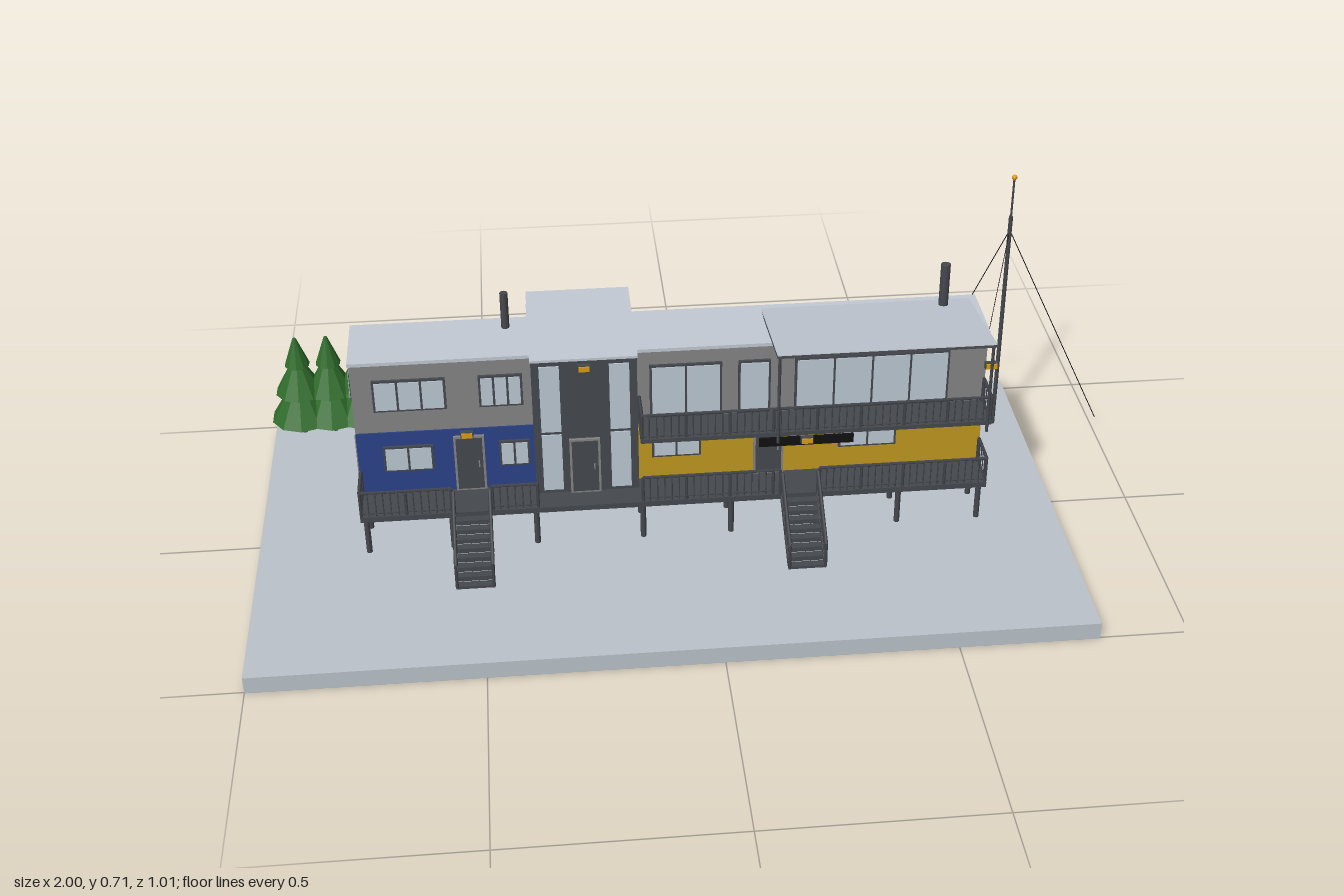
import * as THREE from 'three';
import { mergeGeometries } from 'three/addons/utils/BufferGeometryUtils.js';

const material = (name, color) => {
  const m = new THREE.MeshStandardMaterial({ color });
  m.name = name;
  return m;
};

export function createModel() {
  const root = new THREE.Group();
  root.name = 'containerHouse';
  const concrete = material('concrete', 0xbac2ca), roofing = material('roofing', 0xc2cad3);
  const steel = material('darkSteel', 0x45484e), grey = material('greyCladding', 0x858585);
  const blue = material('bluePaint', 0x2a4288), yellow = material('yellowPaint', 0xc0981f);
  const glass = material('glass', 0xbcc8d3), green = material('needles', 0x2f6c2b);
  const black = material('black', 0x101012), lampYellow = material('lampYellow', 0xdd9c14);

  // Geometry helpers: box from its limits, and a bar between two points
  const boxGeo = (x0, x1, y0, y1, z0, z1) =>
    new THREE.BoxGeometry(x1 - x0, y1 - y0, z1 - z0).translate((x0 + x1) / 2, (y0 + y1) / 2, (z0 + z1) / 2);
  const barGeo = (a, b, r, sides = 4) => {
    const p = new THREE.Vector3(...a), q = new THREE.Vector3(...b), d = q.clone().sub(p);
    const g = new THREE.CylinderGeometry(r, r, d.length(), sides);
    g.applyQuaternion(new THREE.Quaternion().setFromUnitVectors(new THREE.Vector3(0, 1, 0), d.normalize()));
    return g.translate(...p.add(q).multiplyScalar(0.5).toArray());
  };
  const add = (name, geo, mat, parent = root) => {
    const m = new THREE.Mesh(Array.isArray(geo) ? mergeGeometries(geo) : geo, mat);
    m.name = name;
    parent.add(m);
    return m;
  };
  const box = (name, mat, ...limits) => add(name, boxGeo(...limits), mat);

  // Ground slab
  box('groundSlab', concrete, -1, 0.805, 0, 0.04, -0.475, 0.503);

  // Container wings: painted ground floor, grey upper floor, roof
  const Z0 = -0.143, Z1 = 0.015;
  for (const [side, x0, x1, paint] of [['right', -0.767, -0.375, blue], ['left', -0.145, 0.634, yellow]]) {
    box(side + 'LowerFloor', paint, x0, x1, 0.143, 0.303, Z0, Z1);
    box(side + 'UpperFloor', grey, x0, x1, 0.309, 0.478, Z0, Z1);
    box(side + 'FloorSeam', grey, x0, x1, 0.303, 0.309, Z0 + 0.003, Z1 - 0.003);
    box(side + 'FloorBeam', steel, x0, x1, 0.131, 0.143, Z0, Z1);
    box(side + 'Roof', roofing, x0 - 0.003, x1 + 0.003, 0.478, 0.486, Z0 - 0.005, Z1 + 0.004);
  }

  // Windows and doors, built facing +z and then turned to their wall
  const opening = (name, x, y, z, w, h, panes, turn = 0, door = false) => {
    const g = new THREE.Group();
    g.name = name;
    add('frame', new THREE.BoxGeometry(w, h, 0.006), door ? grey : steel, g);
    const t = 0.005, pw = (w - t) / panes;
    for (let i = 0; i < panes; i++) {
      const pane = new THREE.BoxGeometry(pw - t, h - 2 * t, 0.004);
      add(door ? 'leaf' : 'pane', pane.translate(-w / 2 + t / 2 + pw * (i + 0.5), 0, 0.003), door ? steel : glass, g);
    }
    if (door) add('handle', new THREE.BoxGeometry(0.003, 0.014, 0.006).translate(w * 0.3, 0, 0.006), grey, g);
    g.position.set(x, y, z);
    g.rotation.y = turn;
    root.add(g);
  };
  const frontWindow = (name, x0, x1, y0, y1, panes, door) =>
    opening(name, (x0 + x1) / 2, (y0 + y1) / 2, Z1 + 0.003, x1 - x0, y1 - y0, panes, 0, door);
  for (const [x0, x1, n] of [[-0.71, -0.6, 2], [-0.455, -0.387, 2], [-0.115, -0.005, 2], [0.307, 0.438, 2]])
    frontWindow('lowerWindow', x0, x1, 0.203, 0.268, n);
  for (const [x0, x1] of [[-0.722, -0.563], [-0.492, -0.396]]) frontWindow('upperWindow', x0, x1, 0.361, 0.44, 3);
  for (const [x0, x1, n] of [[-0.118, 0.042, 2], [0.078, 0.15, 1], [0.204, 0.55, 4]])
    frontWindow('balconyGlazing', x0, x1, 0.309, 0.444, n);
  for (const x of [-0.521, 0.148]) frontWindow('frontDoor', x - 0.034, x + 0.034, 0.143, 0.286, 1, true);
  opening('leftEndWindow', 0.637, 0.398, -0.063, 0.074, 0.067, 2, Math.PI / 2);
  opening('rightEndWindow', -0.77, 0.398, -0.063, 0.074, 0.067, 2, -Math.PI / 2);
  opening('backWindow', 0.498, 0.237, Z0 - 0.003, 0.125, 0.065, 2, Math.PI);

  // Locking bars on the container end doors
  for (const x of [0.636, -0.769]) add('lockingBars',
    [-0.002, -0.047, -0.08, -0.12].map(z => boxGeo(x - 0.002, x + 0.002, 0.155, 0.292, z - 0.0015, z + 0.0015)), grey);

  // Stair tower with glazing on all sides
  const tx = -0.262;
  box('tower', steel, -0.377, -0.147, 0.14, 0.485, -0.25, 0.05);
  box('towerRoof', roofing, -0.379, -0.145, 0.485, 0.491, -0.252, 0.052);
  for (const [y0, y1] of [[0.152, 0.298], [0.306, 0.474]]) {
    for (const s of [-1, 1]) {
      const fx = tx + s * 0.076, bx = tx + s * 0.05, sx = tx + s * 0.115;
      box('towerFrontGlass', glass, fx - 0.022, fx + 0.022, y0, y1, 0.048, 0.053);
      box('towerBackGlass', glass, bx - 0.045, bx + 0.045, y0, y1, -0.253, -0.248);
      box('towerSideGlass', glass, sx - 0.003, sx + 0.003, y0, y1, -0.225, -0.154);
    }
  }
  opening('towerDoor', tx - 0.004, 0.214, 0.053, 0.068, 0.142, 1, 0, true);

  // Deck, balcony and support legs
  box('deck', steel, -0.767, 0.634, 0.13, 0.143, Z1, 0.107);
  box('balconyFloor', steel, -0.145, 0.634, 0.296, 0.306, Z1, 0.103);
  const legs = [];
  for (const x of [-0.755, -0.567, -0.38, -0.142, 0.056, 0.25, 0.436, 0.62])
    for (const z of [0.092, 0, -0.127]) legs.push(barGeo([x, 0.04, z], [x, 0.131, z], 0.0065, 8));
  add('supportLegs', legs, steel);

  // Railings: top and bottom rails, slim balusters and stout posts
  const rail = (name, a, b, h = 0.063) => {
    const up = (p, dy) => [p[0], p[1] + dy, p[2]];
    const n = Math.max(2, Math.round(Math.hypot(b[0] - a[0], b[1] - a[1], b[2] - a[2]) / 0.016));
    const parts = [barGeo(up(a, h), up(b, h), 0.004), barGeo(up(a, 0.008), up(b, 0.008), 0.002)];
    for (let i = 0; i <= n; i++) {
      const p = a.map((v, k) => v + (b[k] - v) * i / n);
      parts.push(barGeo(p, up(p, h), i % 6 === 0 || i === n ? 0.0035 : 0.0014));
    }
    add(name, parts, steel);
  };
  for (const [x0, x1] of [[-0.764, -0.565], [-0.475, -0.375], [-0.142, 0.165], [0.253, 0.631]])
    rail('deckRailing', [x0, 0.143, 0.103], [x1, 0.143, 0.103]);
  for (const x of [-0.764, 0.631]) rail('deckEndRailing', [x, 0.143, 0.02], [x, 0.143, 0.103]);
  rail('balconyRailing', [-0.142, 0.303, 0.099], [0.631, 0.303, 0.099]);
  for (const x of [-0.142, 0.631]) rail('balconyEndRailing', [x, 0.303, 0.02], [x, 0.303, 0.099]);

  // Stairs with treads, sloping stringers and handrails
  for (const x of [-0.52, 0.209]) {
    const steps = [];
    for (let i = 0; i < 8; i++) {
      const y = 0.132 - i * 0.0122, z = 0.107 + i * 0.0178;
      steps.push(boxGeo(x - 0.04, x + 0.04, y - 0.011, y, z, z + 0.0178));
    }
    add('stairTreads', steps, steel);
    const profile = new THREE.Shape([[0.105, 0.142], [0.25, 0.048], [0.25, 0.04], [0.232, 0.04], [0.105, 0.12]]
      .map(([z, y]) => new THREE.Vector2(-z, y)));
    for (const s of [-1, 1]) {
      const g = new THREE.ExtrudeGeometry(profile, { depth: 0.005, bevelEnabled: false }).rotateY(Math.PI / 2);
      add('stairStringer', g.translate(x + s * 0.04 - 0.0025, 0, 0), steel);
      rail('stairRailing', [x + s * 0.04, 0.14, 0.107], [x + s * 0.04, 0.043, 0.249], 0.059);
    }
  }

  // Sloping canopy: pale top sheet on a dark tray, with two front posts
  const canopy = new THREE.Group();
  canopy.name = 'canopy';
  const slope = Math.atan2(0.046, 0.28);
  add('canopyTray', new THREE.BoxGeometry(0.474, 0.006, 0.285), steel, canopy);
  add('canopySheet', new THREE.BoxGeometry(0.474, 0.002, 0.285).translate(0, 0.004, 0), roofing, canopy);
  canopy.position.set(0.383, 0.504, 0.008);
  canopy.rotation.x = -slope;
  root.add(canopy);
  for (const x of [0.152, 0.614]) add('canopyPost', barGeo([x, 0.305, 0.141], [x, 0.524, 0.141], 0.0035, 8), steel);

  // Chimneys
  add('smallChimney', barGeo([-0.427, 0.48, -0.107], [-0.427, 0.573, -0.107], 0.009, 12), steel);
  add('largeChimney', barGeo([0.554, 0.48, -0.1], [0.554, 0.595, -0.1], 0.011, 12), steel);

  // Blank sign board and wall lamps
  box('signBoard', black, 0.115, 0.325, 0.274, 0.295, 0.103, 0.109);
  for (const [x, y, z] of [[-0.524, 0.293, 0.018], [0.22, 0.291, 0.109], [-0.262, 0.469, 0.05], [0.62, 0.457, 0.106]]) {
    box('lampHousing', steel, x - 0.014, x + 0.014, y - 0.008, y + 0.008, z, z + 0.01);
    box('lampFace', lampYellow, x - 0.012, x + 0.012, y - 0.006, y + 0.006, z + 0.009, z + 0.013);
  }

  // Radio mast with guy wires
  const mx = 0.743, mz = -0.287;
  add('mast', barGeo([mx, 0.04, mz], [mx, 0.608, mz], 0.005, 8), steel);
  add('mastTip', barGeo([mx, 0.6, mz], [mx, 0.705, mz], 0.0025, 8), steel);
  add('mastLight', new THREE.SphereGeometry(0.0065, 12, 8).translate(mx, 0.707, mz), lampYellow);
  add('guyWires', [0, 1, 2].map(i => {
    const a = i * Math.PI * 2 / 3;
    return barGeo([mx, 0.572, mz], [mx + 0.256 * Math.cos(a), 0.04, mz + 0.254 * Math.sin(a)], 0.001);
  }), black);

  // Conifers: trunk and three flat-sided tiers
  for (const x of [-0.93, -0.857, -0.783]) {
    const tree = new THREE.Group();
    tree.name = 'conifer';
    add('trunk', barGeo([0, 0.04, 0], [0, 0.11, 0], 0.007, 8), steel, tree);
    for (const [y, r, top, h] of [[0.085, 0.075, 0.02, 0.09], [0.158, 0.058, 0.014, 0.08], [0.231, 0.03, 0.004, 0.072]])
      add('tier', new THREE.CylinderGeometry(top, r, h, 10).toNonIndexed().translate(0, y + h / 2, 0), green, tree)
        .geometry.computeVertexNormals();
    tree.position.set(x, 0, -0.415);
    root.add(tree);
  }
  return root;
}
